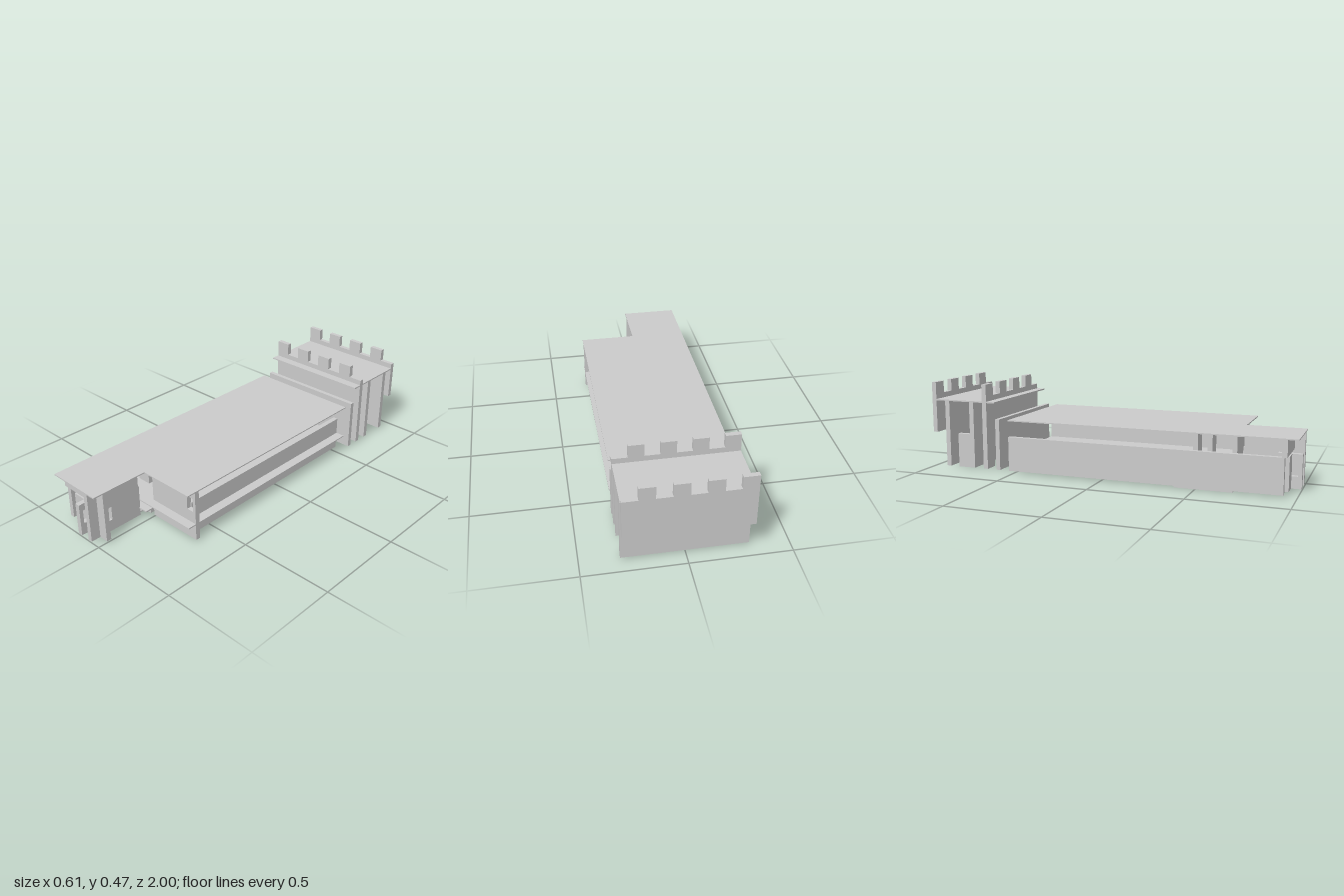
import * as THREE from 'three';

const material = new THREE.MeshStandardMaterial({ color: 0xcccccc, flatShading: true });

// Box given by its limits on each axis
function box(parent, name, [x0, x1], [y0, y1], [z0, z1]) {
  const mesh = new THREE.Mesh(new THREE.BoxGeometry(x1 - x0, y1 - y0, z1 - z0), material);
  mesh.position.set((x0 + x1) / 2, (y0 + y1) / 2, (z0 + z1) / 2);
  mesh.name = name;
  parent.add(mesh);
}

// Rectangle as a closed list of points
const rect = (a0, a1, b0, b1) => [[a0, b0], [a1, b0], [a1, b1], [a0, b1]];

// Outline with optional holes, extruded along local z
function plate(points, holes, depth) {
  const toPoints = (list) => list.map(([a, b]) => new THREE.Vector2(a, b));
  const shape = new THREE.Shape(toPoints(points));
  for (const hole of holes) shape.holes.push(new THREE.Path(toPoints(hole)));
  return new THREE.ExtrudeGeometry(shape, { depth, bevelEnabled: false });
}

function add(parent, name, geometry) {
  const mesh = new THREE.Mesh(geometry, material);
  mesh.name = name;
  parent.add(mesh);
}

// Wall facing z, outline in x and y
const wallAcross = (parent, name, points, holes, z0, z1) =>
  add(parent, name, plate(points, holes, z1 - z0).translate(0, 0, z0));

// Wall facing x, outline in z and y
const wallAlong = (parent, name, points, holes, x0, x1) =>
  add(parent, name, plate(points.map(([z, y]) => [-z, y]).reverse(),
    holes.map((h) => h.map(([z, y]) => [-z, y])), x1 - x0).rotateY(Math.PI / 2).translate(x0, 0, 0));

// Floor, outline in x and z
const floor = (parent, name, points, holes, y0, y1) =>
  add(parent, name, plate(points, holes, y1 - y0).rotateX(Math.PI / 2).translate(0, y1, 0));

const L = -0.307, R = 0.307;
const full = [L, R];

function createHall() {
  const hall = new THREE.Group();
  hall.name = 'hall';
  floor(hall, 'roof', [[L, -0.535], [R, -0.535], [R, 0.69], [0, 0.69], [0, 1], [L, 1]], [], 0.279, 0.285);
  floor(hall, 'upperFloor', rect(-0.282, R, -0.535, 0.69), [rect(-0.23, -0.08, 0.43, 0.53)], 0.095, 0.101);
  floor(hall, 'baseSlab', rect(L, -0.077, 0.39, 0.69), [], 0, 0.008);
  box(hall, 'longWall', [L, -0.282], [0.008, 0.193], [-0.535, 0.935]);
  box(hall, 'longWall', [0.23, 0.257], [0.008, 0.193], [-0.535, 0.62]);
  wallAcross(hall, 'frontWall', rect(0, R, 0.008, 0.279), [rect(0.25, 0.29, 0.165, 0.24)], 0.618, 0.643);
  // Stair landing and its post
  box(hall, 'landing', [-0.128, 0], [0.048, 0.055], [0.64, 0.695]);
  box(hall, 'landingPost', [-0.05, -0.025], [0.008, 0.095], [0.62, 0.645]);
  // Short walls carrying the roof beside the stairs
  for (const z of [0.535, 0.46]) {
    box(hall, 'stairWall', [-0.205, -0.128], [0.101, 0.279], [z, z + 0.026]);
  }
  return hall;
}

function createWing() {
  const wing = new THREE.Group();
  wing.name = 'entranceWing';
  const sill = 0.07, head = 0.145;
  // Side wall with a window, crossed by a stub wall, in two storeys
  wallAlong(wing, 'wingWall', rect(0.69, 1, 0.008, 0.183), [rect(0.867, 0.909, sill, head)], -0.077, -0.052);
  box(wing, 'wingUpperWall', [-0.077, -0.052], [0.193, 0.279], [0.695, 1]);
  box(wing, 'stubWall', [-0.052, 0], [0.008, 0.183], [0.922, 0.948]);
  box(wing, 'upperStubWall', [-0.052, 0], [0.193, 0.279], [0.922, 0.948]);
  box(wing, 'wallJoint', [-0.077, -0.052], [0.183, 0.193], [0.695, 1]);
  box(wing, 'stubJoint', [-0.052, 0], [0.183, 0.193], [0.922, 0.948]);
  box(wing, 'upperFrontWall', [L, -0.077], [0.193, 0.279], [0.922, 0.948]);
  // Entrance screen
  wallAlong(wing, 'entranceWall', rect(0.88, 1, 0.008, 0.183), [rect(0.945, 0.98, sill, head)], -0.155, -0.128);
  box(wing, 'entranceScreen', [-0.23, -0.155], [0.008, 0.183], [0.922, 0.948]);
  return wing;
}

function createTower() {
  const tower = new THREE.Group();
  tower.name = 'tower';
  // Battlement outline: four merlons, each followed by a gap
  const step = (R - L) / 8, low = 0.405, high = 0.47;
  const outline = [[R, 0.193], [R, low]];
  for (let i = 3; i >= 0; i--) {
    const x0 = L + 2 * i * step, x1 = x0 + step;
    outline.push([x1, low], [x1, high], [x0, high]);
    if (i > 0) outline.push([x0, low]);
  }
  outline.push([L, 0.193]);
  outline.reverse();
  wallAcross(tower, 'frontBattlement', outline, [], -0.69, -0.664);
  wallAcross(tower, 'backBattlement', outline, [], -1, -0.975);
  box(tower, 'towerRoof', full, [0.37, 0.377], [-0.975, -0.615]);
  box(tower, 'screenWall', full, [0.008, 0.285], [-0.612, -0.588]);
  box(tower, 'middleWall', full, [0.008, 0.37], [-0.77, -0.744]);
  box(tower, 'backWall', full, [0.008, 0.37], [-0.92, -0.894]);
  // Lower front wall, with doorways between the piers
  for (const span of [[L, -0.23], [-0.155, -0.077], [0.077, R]]) {
    box(tower, 'frontPier', span, [0.008, 0.193], [-0.69, -0.664]);
  }
  for (const span of [[L, -0.282], [0.23, 0.257]]) {
    box(tower, 'sideWall', span, [0.008, 0.193], [-0.843, -0.77]);
  }
  return tower;
}

export function createModel() {
  const model = new THREE.Group();
  model.name = 'building';
  model.add(createHall(), createWing(), createTower());
  return model;
}
